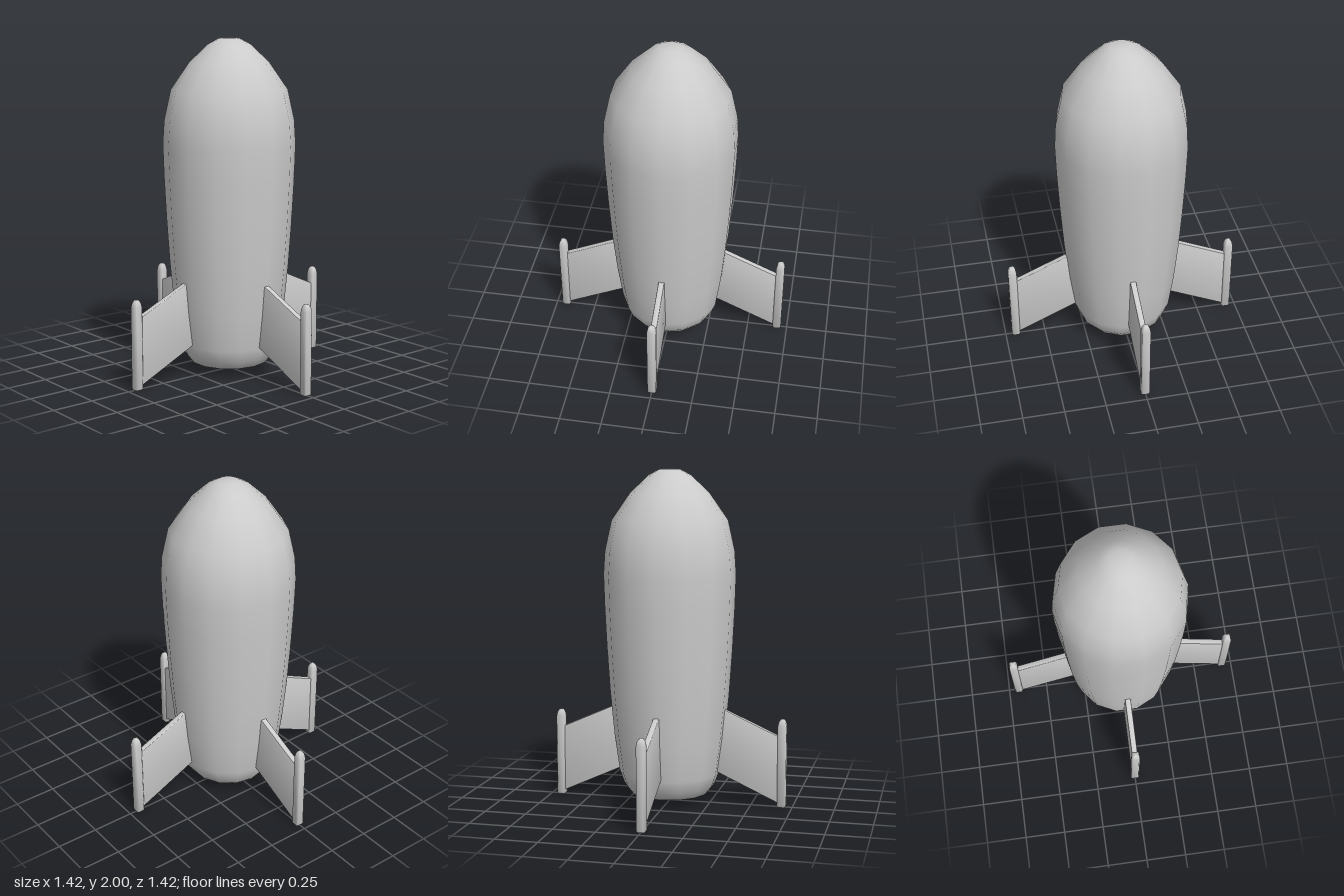
import * as THREE from 'three';
import { toCreasedNormals } from 'three/addons/utils/BufferGeometryUtils.js';

const material = new THREE.MeshStandardMaterial({ color: 0xcccccc });
const points = (list) => list.map(([x, y]) => new THREE.Vector2(x, y));

function part(name, geometry) {
  const mesh = new THREE.Mesh(geometry, material);
  mesh.name = name;
  return mesh;
}

// 14-sided smooth hull, with the hollow exhaust at the bottom
function hullGeometry() {
  const profile = points([
    [0, 0.13], [0.1, 0.125], [0.145, 0.11], [0.18, 0.066], [0.235, 0.06],
    [0.275, 0.11], [0.303, 0.185], [0.333, 0.4], [0.357, 0.65], [0.375, 0.92],
    [0.388, 1.18], [0.394, 1.38], [0.385, 1.52], [0.345, 1.7], [0.235, 1.86],
    [0.125, 1.965], [0.06, 2], [0, 2],
  ]);
  return new THREE.LatheGeometry(profile, 14, Math.PI / 2);
}

// Thin swept plate with softened edges
function finGeometry() {
  const bevel = 0.006;
  const shape = new THREE.Shape(points([
    [0.26, 0.21], [0.675, 0.02], [0.675, 0.427], [0.26, 0.612],
  ]));
  const geometry = new THREE.ExtrudeGeometry(shape, {
    depth: 0.024, bevelEnabled: true, bevelSize: bevel, bevelThickness: bevel,
    bevelOffset: -bevel, bevelSegments: 2,
  });
  geometry.translate(0, 0, -0.012);
  return toCreasedNormals(geometry, 0.7);
}

// Square rod with chamfered corners and a tapered tip
function rodGeometry() {
  const profile = points([
    [0, 0], [0.021, 0], [0.026, 0.008], [0.026, 0.49], [0.021, 0.515],
    [0.012, 0.532], [0, 0.535],
  ]);
  for (const p of profile) p.x /= Math.cos(Math.PI / 8);
  const geometry = new THREE.LatheGeometry(profile, 8, Math.PI / 8);
  // widen the octagon's main sides so it becomes a chamfered square
  const pos = geometry.attributes.position;
  for (let i = 0; i < pos.count; i++) {
    const x = pos.getX(i), z = pos.getZ(i);
    if (Math.abs(x) > Math.abs(z)) pos.setZ(i, z * 1.75);
    else pos.setX(i, x * 1.75);
  }
  geometry.translate(0.686, 0, 0);
  return toCreasedNormals(geometry, 0.9);
}

export function createModel() {
  const model = new THREE.Group();
  model.name = 'rocket';
  model.add(part('hull', hullGeometry()));

  // Four fins around the hull, each ending in a rod
  const fin = finGeometry(), rod = rodGeometry();
  for (let i = 0; i < 4; i++) {
    const group = new THREE.Group();
    group.name = 'finAssembly';
    group.add(part('fin', fin), part('finTipRod', rod));
    group.rotation.y = i * Math.PI / 2;
    model.add(group);
  }
  return model;
}
